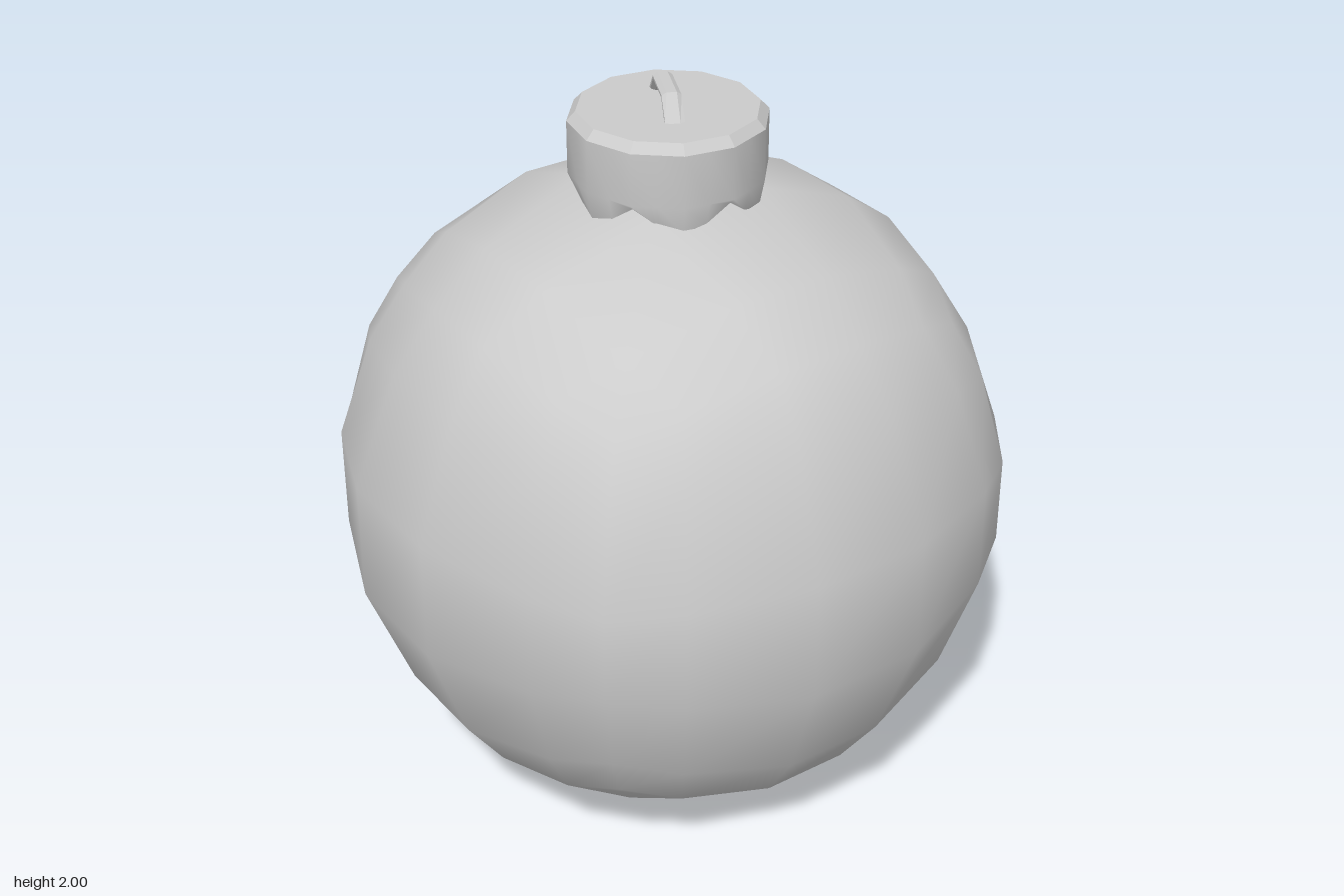
import * as THREE from 'three';
import { mergeVertices } from 'three/addons/utils/BufferGeometryUtils.js';

const material = (extra = {}) => new THREE.MeshStandardMaterial({ color: 0xcccccc, ...extra });

function weld(geometry) {
  geometry.deleteAttribute('uv');
  geometry.deleteAttribute('normal');
  const welded = mergeVertices(geometry, 1e-4);
  welded.computeVertexNormals();
  return welded;
}

function part(name, geometry, mat) {
  const mesh = new THREE.Mesh(geometry, mat);
  mesh.name = name;
  return mesh;
}

// Ball: a subdivided cube pushed out to a sphere
function makeBall() {
  const geometry = new THREE.BoxGeometry(2, 2, 2, 5, 5, 5);
  const pos = geometry.attributes.position;
  const remap = (c) => {
    const a = Math.abs(c);
    return Math.sign(c) * (a > 0.9 ? 1 : a > 0.4 ? 0.63 : 0.19);
  };
  const v = new THREE.Vector3();
  for (let i = 0; i < pos.count; i++) {
    v.fromBufferAttribute(pos, i);
    v.set(remap(v.x), remap(v.y), remap(v.z));
    const sides = v.toArray().filter((c) => Math.abs(c) === 1).length;
    v.setLength(sides > 1 ? 0.906 : 0.897);
    pos.setXYZ(i, v.x, v.y, v.z);
  }
  const ball = part('ball', weld(geometry), material());
  ball.position.y = 0.866;
  return ball;
}

// Cap: twelve-sided skirt with six scallops, chamfered rim and flat lid
function makeCap() {
  const cap = new THREE.Group();
  cap.name = 'cap';
  const turn = THREE.MathUtils.degToRad(4);
  const profile = [[0.244, 1.7], [0.258, 1.775], [0.258, 1.915]].map((p) => new THREE.Vector2(...p));
  const skirt = new THREE.LatheGeometry(profile, 24, turn);
  const pos = skirt.attributes.position;
  const hem = [1.762, 1.718, 1.702, 1.718];
  for (let i = 0; i < pos.count; i++) {
    const column = Math.floor(i / profile.length);
    const k = column % 2 ? Math.cos(Math.PI / 12) : 1;
    const y = i % profile.length === 0 ? hem[column % 4] : pos.getY(i);
    pos.setXYZ(i, pos.getX(i) * k, y, pos.getZ(i) * k);
  }
  cap.add(part('capSkirt', weld(skirt), material({ side: THREE.DoubleSide })));

  const lid = [[0.258, 1.915], [0.235, 1.94], [0, 1.94]].map((p) => new THREE.Vector2(...p));
  cap.add(part('capLid', new THREE.LatheGeometry(lid, 12, turn),
    material({ flatShading: true, side: THREE.DoubleSide })));
  cap.position.x = -0.004;
  return cap;
}

// Hanging loop: a bent band with chamfered edges
function makeLoop() {
  const outer = [[-0.128, 1.935], [-0.068, 2], [0.068, 2], [0.128, 1.935]];
  const inner = [[0.098, 1.935], [0.058, 1.977], [-0.058, 1.977], [-0.098, 1.935]];
  const shape = new THREE.Shape([...outer, ...inner].map((p) => new THREE.Vector2(...p)));
  const geometry = new THREE.ExtrudeGeometry(shape, {
    depth: 0.026, bevelEnabled: true, bevelSegments: 1,
    bevelThickness: 0.012, bevelSize: 0.008, bevelOffset: -0.008,
  });
  geometry.translate(0, 0, -0.013);
  const loop = part('hangingLoop', geometry, material({ flatShading: true }));
  loop.rotation.y = THREE.MathUtils.degToRad(65);
  loop.position.set(-0.003, 0, -0.008);
  return loop;
}

export function createModel() {
  const model = new THREE.Group();
  model.name = 'ornament';
  model.add(makeBall(), makeCap(), makeLoop());
  return model;
}
